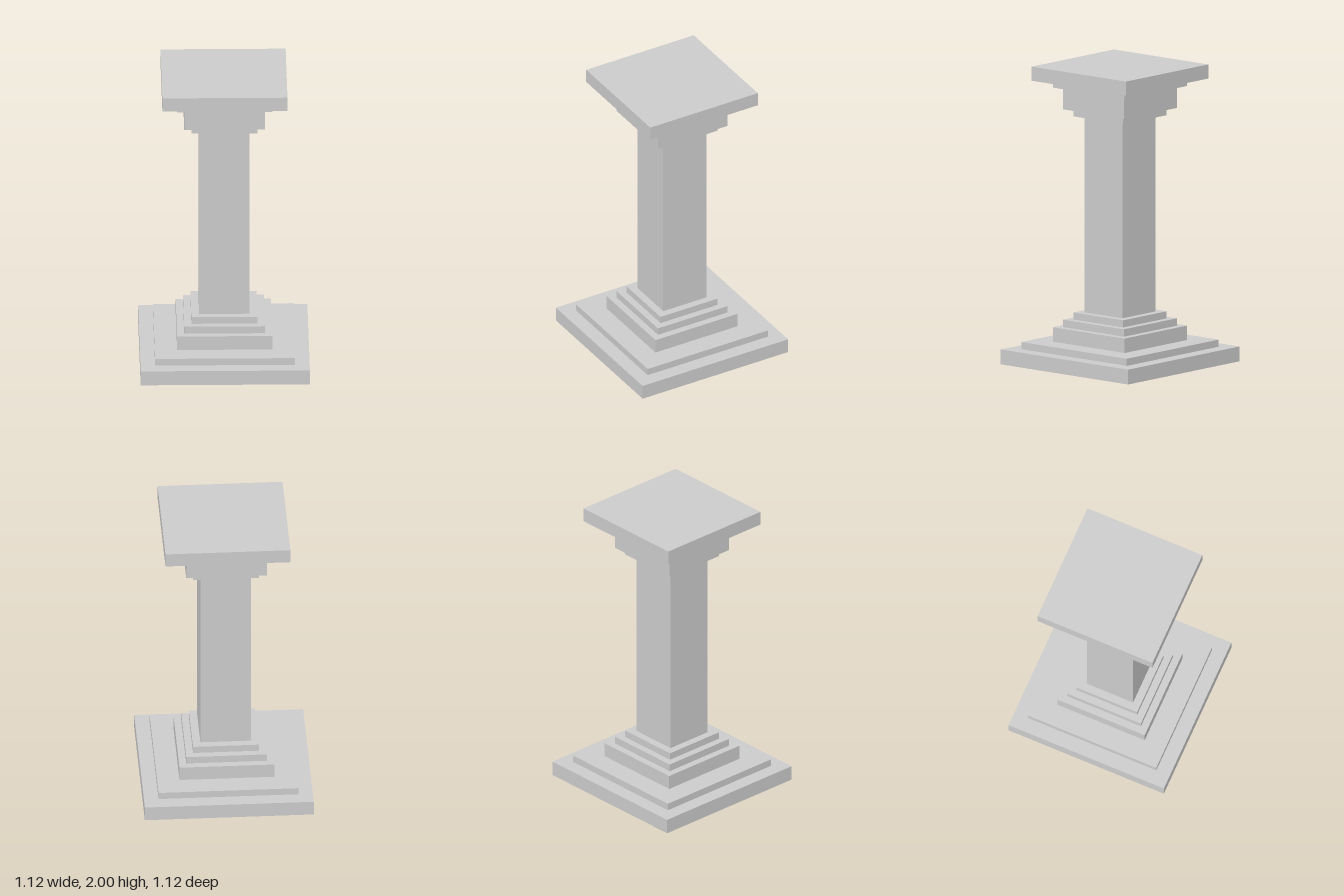
import * as THREE from 'three';

export function createModel() {
  const group = new THREE.Group();
  group.name = 'squareColumn';
  const material = new THREE.MeshStandardMaterial({ color: 0xcccccc, flatShading: true });

  // Stacked square slabs from the ground up: [name, width, top height]
  const slabs = [
    ['plinth', 1.12, 0.1],
    ['plinthStep', 0.926, 0.148],
    ['baseBlock', 0.63, 0.245],
    ['baseUpperStep', 0.534, 0.295],
    ['baseCollar', 0.438, 0.343],
    ['shaft', 0.334, 1.662],
    ['capitalCollar', 0.438, 1.71],
    ['capitalBlock', 0.534, 1.857],
    ['capitalStep', 0.63, 1.905],
    ['abacus', 0.828, 2],
  ];

  let bottom = 0;
  for (const [name, width, top] of slabs) {
    const height = top - bottom;
    const slab = new THREE.Mesh(new THREE.BoxGeometry(width, height, width), material);
    slab.name = name;
    slab.position.y = bottom + height / 2;
    group.add(slab);
    bottom = top;
  }
  return group;
}
